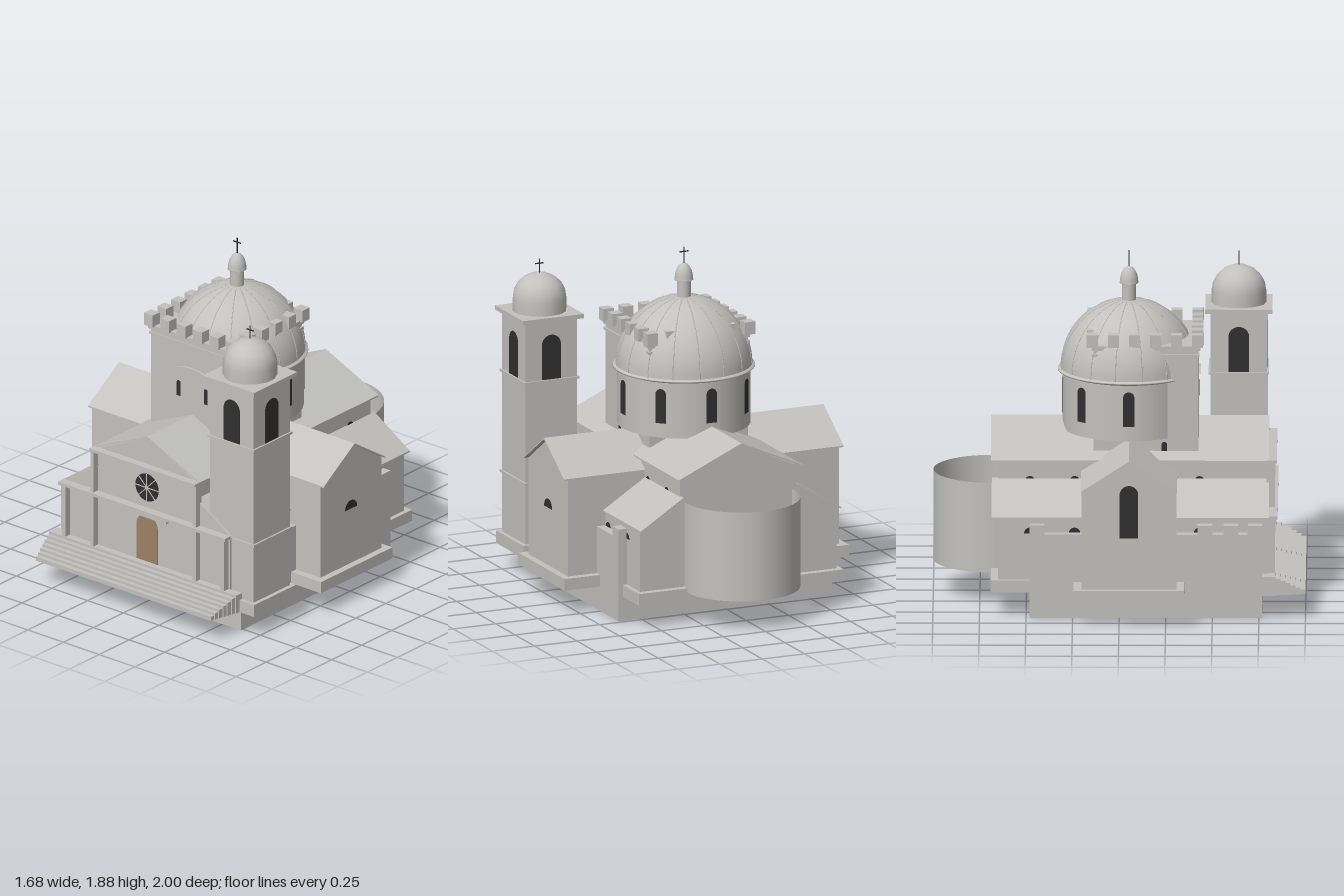
import * as THREE from 'three';

export function createModel() {
  const root = new THREE.Group();
  const mat = (name, color, side = THREE.FrontSide) => {
    const m = new THREE.MeshStandardMaterial({ color, side });
    m.name = name;
    return m;
  };
  const stone = mat('stone', 0xc2c1bd, THREE.DoubleSide);
  const dark = mat('darkOpening', 0x303030);
  const wood = mat('doorWood', 0x9c8263);

  const add = (name, geo, m = stone, x = 0, y = 0, z = 0, ry = 0) => {
    const mesh = new THREE.Mesh(geo, m);
    mesh.name = name;
    mesh.position.set(x, y, z);
    mesh.rotation.y = ry;
    root.add(mesh);
    return mesh;
  };
  const box = (name, x0, x1, y0, y1, z0, z1, m = stone) =>
    add(name, new THREE.BoxGeometry(x1 - x0, y1 - y0, z1 - z0), m, (x0 + x1) / 2, (y0 + y1) / 2, (z0 + z1) / 2);
  // Outline in the x-y plane, extruded along z from z0 to z1
  const prism = (name, pts, z0, z1, m = stone) => {
    const s = new THREE.Shape(pts.map(p => new THREE.Vector2(p[0], p[1])));
    return add(name, new THREE.ExtrudeGeometry(s, { depth: z1 - z0, bevelEnabled: false }), m, 0, 0, z0);
  };
  // Four walls round a rectangle, open above and below
  const ringWall = (name, w, z0, z1, t, y0, y1) => {
    for (const s of [-1, 1]) box(name, s * (w - t / 2) - t / 2, s * (w - t / 2) + t / 2, y0, y1, z0, z1);
    box(name, t - w, w - t, y0, y1, z0, z0 + t);
    box(name, t - w, w - t, y0, y1, z1 - t, z1);
  };
  // Thin round-headed plate lying on a wall plane, facing +z before turning by ry
  const arch = (name, w, y0, y1, x, z, ry = 0, m = dark) => {
    const r = w / 2, s = new THREE.Shape();
    s.moveTo(-r, y0);
    s.lineTo(r, y0);
    s.lineTo(r, y1 - r);
    s.absarc(0, y1 - r, r, 0, Math.PI, false);
    s.closePath();
    const geo = new THREE.ExtrudeGeometry(s, { depth: 0.002, bevelEnabled: false, curveSegments: 10 });
    geo.translate(0, 0, -0.0005);
    return add(name, geo, m, x, 0, z, ry);
  };
  const lathe = (name, pts, seg, x, z) =>
    add(name, new THREE.LatheGeometry(pts.map(p => new THREE.Vector2(p[0], p[1])), seg), stone, x, 0, z);
  const domeArc = (r, h, y, n) => Array.from({ length: n + 1 }, (_, i) => {
    const a = (i / n) * Math.PI / 2;
    return [Math.max(r * Math.cos(a), 0.0001), y + h * Math.sin(a)];
  });
  const cross = (x, y0, y1, z, arm) => {
    box('crossPost', x - 0.0025, x + 0.0025, y0 - 0.01, y1, z - 0.0025, z + 0.0025, dark);
    box('crossArm', x - arm, x + arm, y1 - 0.028, y1 - 0.022, z - 0.0025, z + 0.0025, dark);
  };

  // Hollow foundation wall, rising beside the aisles
  ringWall('foundationWall', 0.63, -0.48, 0.77, 0.1, 0, 0.46);
  ringWall('innerFoundation', 0.35, -0.2, 0.46, 0.04, 0.08, 0.14);
  add('innerWell', new THREE.CylinderGeometry(0.175, 0.175, 0.08, 24, 1, true), stone, 0, 0.1, 0.07);
  box('innerDoor', -0.28, -0.21, 0.1, 0.14, -0.08, 0.28, wood);
  for (const s of [-1, 1])
    for (const z of [-0.44, 0.46, 0.6, 0.73])
      box('wallMerlon', s * 0.605 - 0.025, s * 0.605 + 0.025, 0.45, 0.51, z - 0.04, z + 0.04);

  // Nave with gabled roof
  prism('nave', [[-0.345, 0.14], [0.345, 0.14], [0.345, 0.8], [0, 0.96], [-0.345, 0.8]], -0.65, 0.8);
  prism('naveRoof', [[-0.37, 0.798], [0, 0.962], [0.37, 0.798], [0.37, 0.806], [0, 0.97], [-0.37, 0.806]], -0.69, 0.803);
  box('pedimentCornice', -0.37, 0.37, 0.792, 0.808, 0.79, 0.845);

  // Aisles with lean-to roofs
  for (const s of [-1, 1]) {
    prism('aisle', [[s * 0.34, 0.14], [s * 0.58, 0.14], [s * 0.58, 0.545], [s * 0.34, 0.695]], -0.65, 0.8);
    prism('aisleRoof', [[s * 0.34, 0.697], [s * 0.593, 0.537], [s * 0.593, 0.545], [s * 0.34, 0.705]], -0.685, 0.803);
    for (const z of [0.43, -0.24, -0.48]) {
      arch('clerestoryWindow', 0.05, 0.68, 0.715, s * 0.345, z, s * Math.PI / 2);
      arch('aisleWindow', 0.06, 0.455, 0.487, s * 0.58, z, s * Math.PI / 2);
    }
  }
  box('plinth', -0.605, 0.605, 0.135, 0.2, -0.69, 0.83);

  // Transept, its roof and end windows
  const across = (name, pts, half) => {
    const m = prism(name, pts, -half, half);
    m.rotation.y = Math.PI / 2;
    m.position.set(-half, 0, 0.053);
    return m;
  };
  across('transept', [[-0.255, 0.14], [0.255, 0.14], [0.255, 0.735], [0, 0.902], [-0.255, 0.735]], 0.8);
  across('transeptRoof', [[-0.258, 0.735], [0, 0.903], [0.258, 0.735], [0.258, 0.743], [0, 0.911], [-0.258, 0.743]], 0.826);
  box('transeptPlinth', -0.84, 0.84, 0.135, 0.2, -0.245, 0.352);
  arch('transeptWindow', 0.1, 0.52, 0.57, 0.8, 0.053, Math.PI / 2);
  arch('transeptTallWindow', 0.1, 0.48, 0.77, -0.8, 0.053, -Math.PI / 2);

  // Open rounded apse at the back
  add('apse', new THREE.CylinderGeometry(0.32, 0.32, 0.495, 40, 1, true), stone, 0, 0.4225, -0.68);

  // Facade: pilasters, cornice, rose window, door
  for (const s of [-1, 1]) {
    box('tallPilaster', s * 0.358 - 0.012, s * 0.358 + 0.012, 0.23, 0.8, 0.79, 0.835);
    box('shortPilaster', s * 0.555 - 0.012, s * 0.555 + 0.012, 0.23, 0.54, 0.79, 0.835);
  }
  box('facadeCornice', -0.585, 0.585, 0.535, 0.552, 0.79, 0.85);
  const disc = new THREE.CylinderGeometry(0.08, 0.08, 0.008, 32);
  disc.rotateX(Math.PI / 2);
  add('roseWindow', disc, dark, 0, 0.67, 0.8);
  for (let i = 0; i < 4; i++) {
    const spoke = box('roseSpoke', -0.08, 0.08, 0.6675, 0.6725, 0.801, 0.807);
    spoke.rotation.z = i * Math.PI / 4;
  }
  arch('door', 0.15, 0.23, 0.51, 0, 0.801, 0, wood);
  box('doorLintel', -0.155, 0.155, 0.507, 0.525, 0.79, 0.83);

  // Front steps, narrowing as they descend
  for (let i = 0; i < 7; i++)
    box('step', -0.655 + i * 0.007, 0.655 - i * 0.007, 0.13, 0.235 - i * 0.0135, 0.77, 0.84 + i * 0.0267);

  // Square crenellated keep
  box('keep', -0.29, 0.29, 0.15, 1.4, -0.14, 0.425);
  box('keepLowerBand', -0.3, 0.3, 1.362, 1.376, -0.15, 0.43);
  box('keepBand', -0.3, 0.3, 1.395, 1.42, -0.15, 0.435);
  for (let i = 0; i < 6; i++)
    for (let j = 0; j < 6; j++) {
      if (i % 5 && j % 5) continue;
      const x = (i - 2.5) * 0.115, z = 0.137 + (j - 2.5) * 0.113;
      box('keepMerlon', x - 0.031, x + 0.031, 1.415, 1.485, z - 0.03, z + 0.03);
    }
  for (const s of [-1, 1]) {
    arch('keepWindow', 0.025, 1.055, 1.145, s * 0.095, 0.425);
    arch('keepSideWindow', 0.03, 0.82, 0.89, s * 0.29, 0.24, s * Math.PI / 2);
  }
  prism('keepHood', [[-0.105, 1.222], [0.105, 1.222], [0.06, 1.238], [0, 1.244], [-0.06, 1.238]], 0.41, 0.437);

  // Drum, ribbed dome and lantern
  const cz = 0.05;
  add('drum', new THREE.CylinderGeometry(0.358, 0.358, 0.32, 48), stone, 0, 1.07, cz);
  for (let i = 0; i < 8; i++) {
    const a = i * Math.PI / 4;
    arch('drumWindow', 0.06, 0.99, 1.18, Math.sin(a) * 0.358, cz + Math.cos(a) * 0.358, a);
  }
  lathe('domeRim', [[0.355, 1.215], [0.382, 1.225], [0.382, 1.232], [0.365, 1.24]], 48, 0, cz);
  lathe('dome', domeArc(0.368, 0.375, 1.235, 16), 48, 0, cz);
  const ribCurve = new THREE.CatmullRomCurve3(domeArc(0.368, 0.375, 1.235, 10).slice(0, 10)
    .map(p => new THREE.Vector3(p[0], p[1], 0)));
  const ribGeo = new THREE.TubeGeometry(ribCurve, 16, 0.003, 5);
  for (let i = 0; i < 16; i++) add('domeRib', ribGeo, stone, 0, 0, cz, (i + 0.5) * Math.PI / 8);
  add('lantern', new THREE.CylinderGeometry(0.038, 0.038, 0.13, 20), stone, 0, 1.645, cz);
  lathe('lanternCap', [[0.0001, 1.7], [0.052, 1.7], ...domeArc(0.05, 0.09, 1.702, 8)], 20, 0, cz);
  cross(0, 1.79, 1.88, cz, 0.026);

  // Bell tower
  const tx = 0.583, tz = 0.637;
  const slab = (name, h, y0, y1) => box(name, tx - h, tx + h, y0, y1, tz - h, tz + h);
  slab('bellTower', 0.152, 0.13, 1.43);
  slab('bellTowerBase', 0.175, 0.13, 0.2);
  slab('bellTowerBand', 0.162, 0.53, 0.543);
  slab('bellTowerBand', 0.162, 1.09, 1.102);
  slab('bellTowerCornice', 0.18, 1.428, 1.452);
  for (let i = 0; i < 4; i++) {
    const a = i * Math.PI / 2;
    arch('belfryOpening', 0.112, 1.103, 1.35, tx + Math.sin(a) * 0.152, tz + Math.cos(a) * 0.152, a);
  }
  lathe('bellTowerDome', [[0.147, 1.45], ...domeArc(0.147, 0.14, 1.52, 5)], 14, tx, tz);
  cross(tx, 1.66, 1.735, tz, 0.024);

  return root;
}
